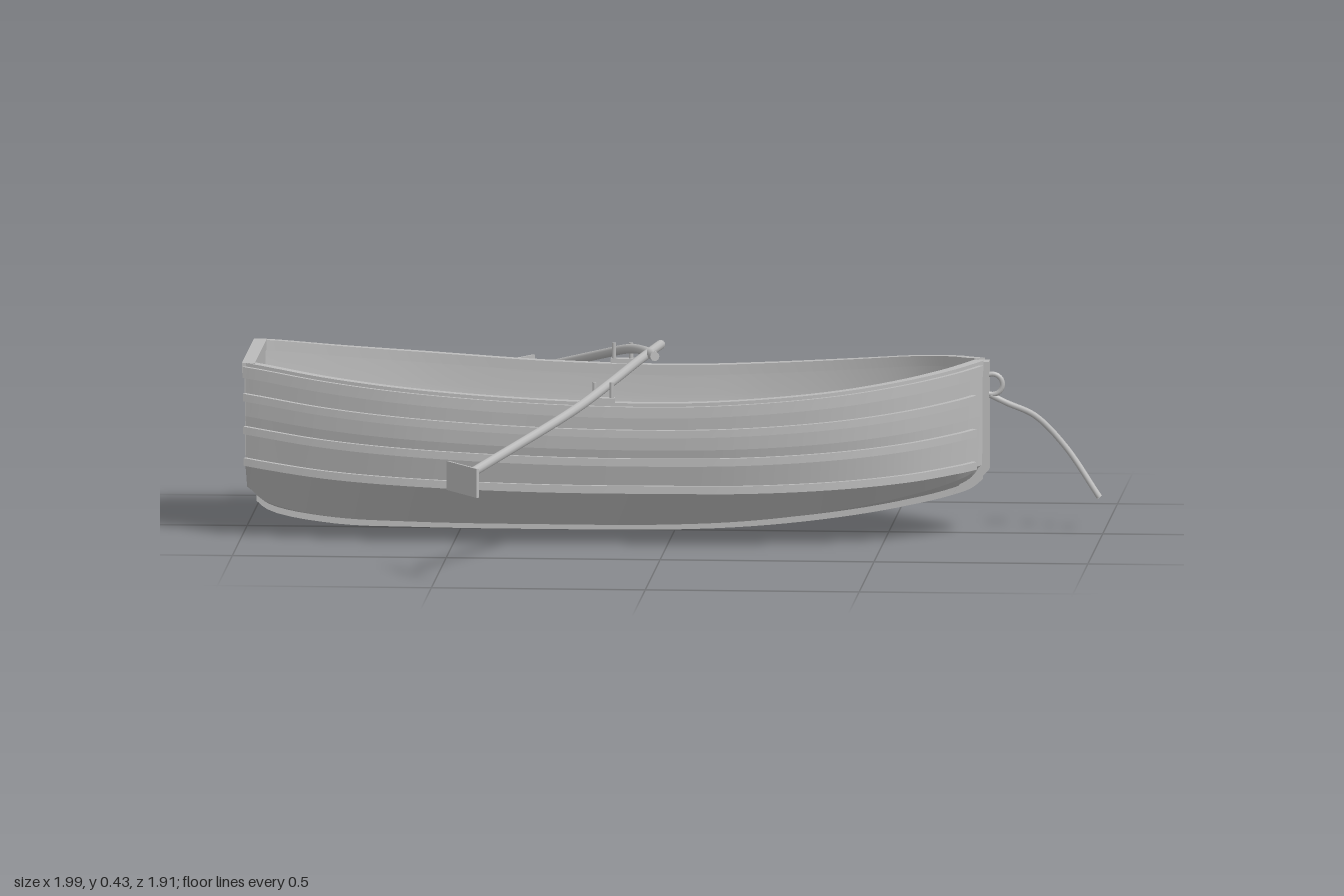
import * as THREE from 'three';

const grey = new THREE.MeshStandardMaterial({ color: 0xbababa, side: THREE.DoubleSide });
grey.name = 'grey';

// Hull stations: x, half beam, sheer height, chine height, bottom height
const stations = [
  [-0.99, 0.200, 0.400, 0.170, 0.085], [-0.95, 0.217, 0.396, 0.165, 0.052],
  [-0.8, 0.270, 0.377, 0.150, 0.022], [-0.6, 0.315, 0.358, 0.140, 0.015],
  [-0.3, 0.328, 0.338, 0.131, 0.013], [0, 0.328, 0.332, 0.130, 0.015],
  [0.2, 0.320, 0.340, 0.131, 0.026], [0.4, 0.282, 0.356, 0.138, 0.050],
  [0.55, 0.215, 0.374, 0.147, 0.078], [0.65, 0.125, 0.387, 0.155, 0.103],
  [0.695, 0.060, 0.393, 0.158, 0.120], [0.72, 0.022, 0.397, 0.162, 0.140],
];
const upper = new THREE.CatmullRomCurve3(stations.map((s) => new THREE.Vector3(s[0], s[2], s[1])));
const lower = new THREE.CatmullRomCurve3(stations.map((s) => new THREE.Vector3(s[0], s[3], s[4])));

function station(u) {
  const a = upper.getPoint(u), l = lower.getPoint(u);
  const t = upper.getTangent(u);
  const n = new THREE.Vector2(-t.z, t.x).normalize(); // outward in plan: (x, z)
  return { x: a.x, beam: a.z, sheer: a.y, chine: l.y, bottom: l.z, nx: n.x, nz: n.y };
}

// Skin between cross-sections; smooth lengthwise, creased across unless smooth
function loft(sections, { smooth = false, flip = false, caps = false } = {}) {
  const pos = [], idx = [];
  const n = sections.length, m = sections[0].length;
  const face = (a, b, c) => (flip ? idx.push(a, c, b) : idx.push(a, b, c));
  const quads = (base, stride, i, j) => {
    const a = base + i * stride + j, b = a + stride;
    face(a, b, a + 1);
    face(b, b + 1, a + 1);
  };
  if (smooth) {
    sections.forEach((s) => s.forEach((p) => pos.push(...p)));
    for (let i = 0; i < n - 1; i++) for (let j = 0; j < m - 1; j++) quads(0, m, i, j);
  } else {
    for (let j = 0; j < m - 1; j++) {
      const base = pos.length / 3;
      sections.forEach((s) => pos.push(...s[j], ...s[j + 1]));
      for (let i = 0; i < n - 1; i++) quads(base, 2, i, 0);
    }
  }
  if (caps) {
    [sections[0], sections[n - 1]].forEach((s, end) => {
      const base = pos.length / 3;
      s.slice(0, -1).forEach((p) => pos.push(...p));
      for (let k = 1; k < m - 2; k++) {
        if (end) face(base, base + k + 1, base + k);
        else face(base, base + k, base + k + 1);
      }
    });
  }
  const g = new THREE.BufferGeometry();
  g.setAttribute('position', new THREE.Float32BufferAttribute(pos, 3));
  g.setIndex(idx);
  g.computeVertexNormals();
  return g;
}

function along(u0, u1, steps, fn) {
  return Array.from({ length: steps + 1 }, (_, i) => fn(station(u0 + ((u1 - u0) * i) / steps)));
}

// Half section of the planking from sheer to keel, as [height, half width]
function halfSection(s) {
  return [
    [s.sheer, s.beam],
    [s.chine + (s.sheer - s.chine) * 0.5, s.beam * 0.965],
    [s.chine, s.beam * 0.88],
    [s.bottom + 0.024, s.beam * 0.58],
    [s.bottom, 0],
  ];
}

function fullSection(s) {
  const h = halfSection(s);
  return [...h, ...h.slice(0, -1).reverse().map(([y, z]) => [y, -z])];
}

// Half width of the topsides at a fraction of the way up from chine to sheer
const sideAt = (s, t) => s.beam * (t < 0.5 ? 0.88 + 0.17 * t : 0.93 + 0.07 * t);

// Rectangular batten running along one side of the hull
function batten(side, t, inner, outer, low, high, uEnd) {
  const sections = along(0, uEnd, 56, (s) => {
    const z = sideAt(s, t), y = s.chine + (s.sheer - s.chine) * t;
    const corner = (off, dy) => [s.x + s.nx * off, y + dy, side * Math.max(0, z + s.nz * off)];
    return [corner(inner, high), corner(outer, high), corner(outer, low), corner(inner, low), corner(inner, high)];
  });
  return loft(sections, { caps: true, flip: side > 0 });
}

export function createModel() {
  const boat = new THREE.Group();
  boat.name = 'rowingBoat';
  const add = (name, geometry, x = 0, y = 0, z = 0, parent = boat) => {
    const mesh = new THREE.Mesh(geometry, grey);
    mesh.name = name;
    mesh.position.set(x, y, z);
    parent.add(mesh);
    return mesh;
  };

  // Outer planking and rounded inner lining
  add('hull', loft(along(0, 1, 66, (s) => fullSection(s).map(([y, z]) => [s.x, y, z])), { flip: true }));
  add('lining', loft(along(0, 1, 66, (s) => Array.from({ length: 25 }, (_, j) => {
    const a = (j / 24) * Math.PI, c = Math.cos(a);
    const z = Math.max(s.beam - 0.02, 0.005) * Math.sign(c) * Math.abs(c) ** 0.6;
    return [s.x, s.sheer - (s.sheer - s.bottom - 0.03) * Math.abs(Math.sin(a)) ** 0.8, z];
  })), { smooth: true }));

  // Gunwales and side battens
  for (const side of [1, -1]) {
    const label = side > 0 ? 'left' : 'right';
    add(label + 'Gunwale', batten(side, 1, -0.022, 0.004, -0.012, 0.012, 1));
    add(label + 'RubbingRail', batten(side, 1, -0.004, 0.015, -0.022, 0.004, 0.965));
    [0.03, 0.36, 0.7].forEach((t, i) =>
      add(label + 'Batten' + (i + 1), batten(side, t, -0.012, 0.014, -0.009, 0.009, 0.92)));
  }

  // Transom with its top rail
  const outline = new THREE.Shape(fullSection(station(0)).map(([y, z]) => new THREE.Vector2(z, y)));
  const transom = add('transom', new THREE.ExtrudeGeometry(outline, { depth: 0.022, bevelEnabled: false }), -0.992);
  transom.rotation.y = Math.PI / 2;
  add('transomRail', new THREE.BoxGeometry(0.03, 0.024, 0.41), -0.983, 0.4, 0);

  // Keel strip, stem post and inner stem
  add('keel', loft(along(0.03, 1, 50, (s) => {
    const hi = s.bottom + 0.01, lo = s.bottom - 0.013;
    return [[s.x, hi, 0.01], [s.x, lo, 0.01], [s.x, lo, -0.01], [s.x, hi, -0.01], [s.x, hi, 0.01]];
  }), { caps: true, flip: true }));
  const stemShape = new THREE.Shape([
    [0.708, 0.405], [0.735, 0.405], [0.735, 0.15], [0.69, 0.105], [0.65, 0.092], [0.69, 0.15],
  ].map(([x, y]) => new THREE.Vector2(x, y)));
  add('stemPost', new THREE.ExtrudeGeometry(stemShape, { depth: 0.04, bevelEnabled: false }), 0, 0, -0.02);
  add('innerStem', new THREE.BoxGeometry(0.035, 0.24, 0.03), 0.69, 0.275, 0);

  // Seats and floorboard
  [[-0.57, 0.29], [-0.143, 0.29], [0.288, 0.265]].forEach(([x, half], i) =>
    add('seat' + (i + 1), new THREE.BoxGeometry(0.117, 0.025, half * 2), x, 0.24, 0));
  add('floorboard', new THREE.BoxGeometry(1.03, 0.012, 0.205), -0.145, 0.08, 0);

  // Curved oars with flat blades, each resting between two pins
  for (const s of [1, -1]) {
    const oar = new THREE.Group();
    oar.name = s > 0 ? 'leftOar' : 'rightOar';
    boat.add(oar);
    const path = new THREE.CatmullRomCurve3([
      [-0.415, 0.25, 0.84], [-0.205, 0.345, 0.47], [-0.13, 0.385, 0.28], [-0.078, 0.41, 0.08], [-0.04, 0.422, -0.1],
    ].map(([x, y, z]) => new THREE.Vector3(x, y, z * s)));
    add('shaft', new THREE.TubeGeometry(path, 32, 0.011, 10), 0, 0, 0, oar);
    [0, 1].forEach((end) => {
      const cap = add('shaftEnd', new THREE.CircleGeometry(0.011, 10), 0, 0, 0, oar);
      cap.position.copy(path.getPoint(end));
      cap.lookAt(cap.position.clone().addScaledVector(path.getTangent(end), end ? 1 : -1));
    });
    const blade = add('blade', new THREE.BoxGeometry(0.152, 0.068, 0.006), -0.435, 0.24, 0.887 * s, oar);
    blade.rotation.y = -Math.atan2(0.13 * s, 0.08);
    for (const x of [-0.165, -0.125])
      add('oarPin', new THREE.CylinderGeometry(0.005, 0.005, 0.055, 8), x, 0.365, 0.328 * s, oar);
    add('oarRest', new THREE.BoxGeometry(0.055, 0.012, 0.02), -0.145, 0.35, 0.328 * s, oar);
  }

  // Mooring ring and trailing rope
  add('mooringRing', new THREE.TorusGeometry(0.024, 0.006, 8, 24), 0.742, 0.35, 0);
  const rope = new THREE.CatmullRomCurve3([
    [0.737, 0.325, 0], [0.775, 0.305, -0.01], [0.84, 0.27, -0.043], [0.91, 0.195, -0.058], [0.99, 0.08, -0.04],
  ].map((p) => new THREE.Vector3(...p)));
  add('rope', new THREE.TubeGeometry(rope, 30, 0.007, 8));

  return boat;
}
